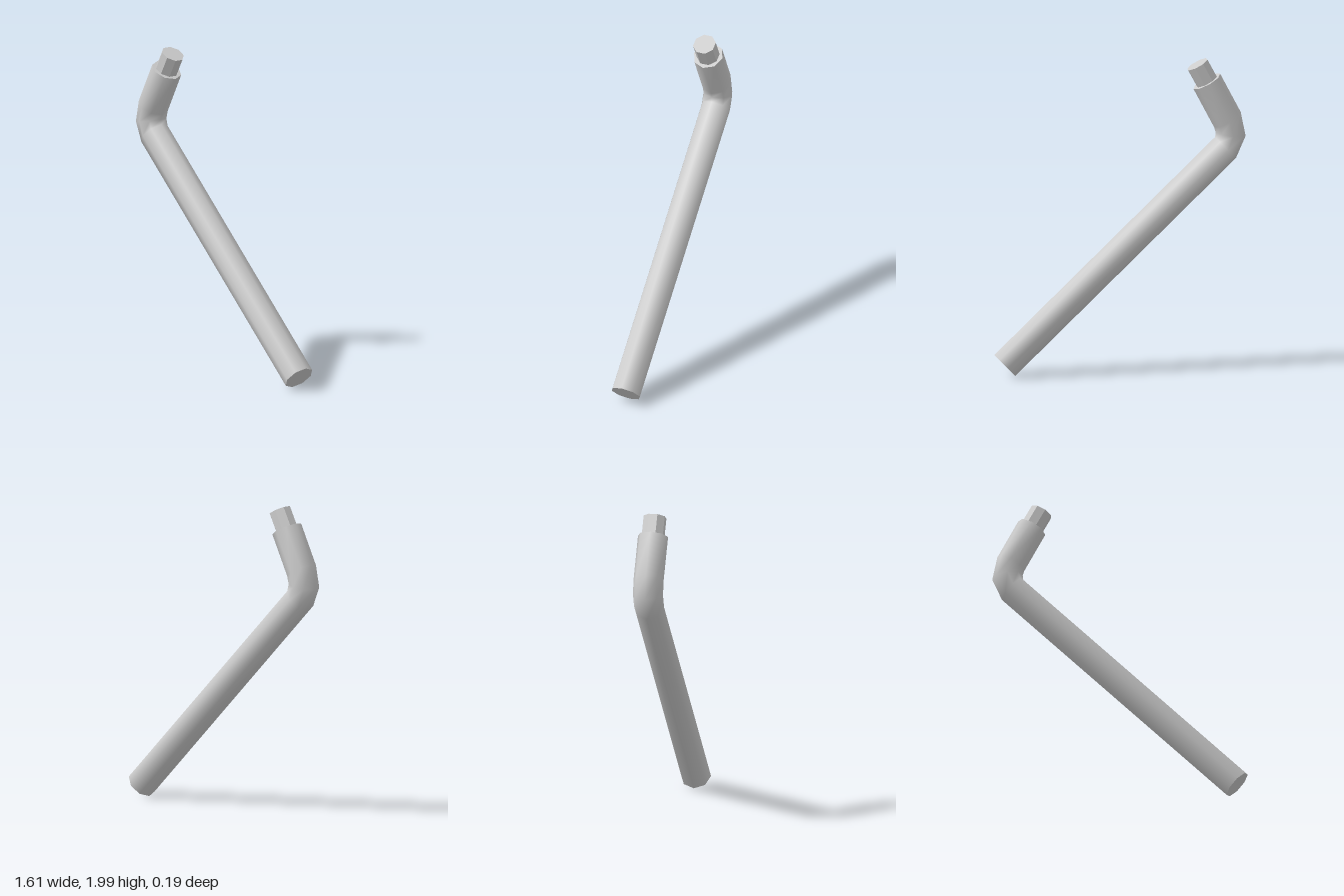
import * as THREE from 'three';

const SIDES = 8;
const RADIUS = 0.097;

// centre of each ring along the bar, with the direction the bar runs there
const RINGS = [
  { at: [0.737, 0.075], dir: [-0.7235, 0.690] },
  { at: [-0.678, 1.425], dir: [-0.7235, 0.690] },
  { at: [-0.711, 1.51], dir: [-0.155, 0.988] },
  { at: [-0.69, 1.604], dir: [0.476, 0.88] },
  { at: [-0.558, 1.855], dir: [0.476, 0.88] },
];

function ringPoints({ at, dir }) {
  const d = new THREE.Vector2(...dir).normalize();
  return Array.from({ length: SIDES }, (_, j) => {
    const a = (j / SIDES) * Math.PI * 2;
    const s = RADIUS * Math.cos(a);
    return [at[0] + s * d.y, at[1] - s * d.x, RADIUS * Math.sin(a)];
  });
}

function buildGeometry(points, index) {
  const geometry = new THREE.BufferGeometry();
  geometry.setAttribute('position', new THREE.Float32BufferAttribute(points.flat(), 3));
  geometry.setIndex(index);
  geometry.computeVertexNormals();
  return geometry;
}

// smooth skin joining the rings
function barGeometry() {
  const index = [];
  for (let i = 0; i < RINGS.length - 1; i++) {
    for (let j = 0; j < SIDES; j++) {
      const a = i * SIDES + j;
      const b = i * SIDES + ((j + 1) % SIDES);
      index.push(a, a + SIDES, b, b, a + SIDES, b + SIDES);
    }
  }
  return buildGeometry(RINGS.flatMap(ringPoints), index);
}

// flat end with its own vertices, so the rim stays sharp
function capGeometry(ring, flip) {
  const index = [];
  for (let j = 1; j < SIDES - 1; j++) index.push(0, ...(flip ? [j + 1, j] : [j, j + 1]));
  return buildGeometry(ringPoints(ring), index);
}

export function createModel() {
  const model = new THREE.Group();
  model.name = 'bentKey';
  const smooth = new THREE.MeshStandardMaterial({ color: 0xcccccc });
  const faceted = new THREE.MeshStandardMaterial({ color: 0xcccccc, flatShading: true });

  const add = (name, geometry, material) => {
    const mesh = new THREE.Mesh(geometry, material);
    mesh.name = name;
    model.add(mesh);
    return mesh;
  };

  const last = RINGS[RINGS.length - 1];
  add('bentBar', barGeometry(), smooth);
  add('handleEnd', capGeometry(RINGS[0], false), faceted);
  add('shoulder', capGeometry(last, true), faceted);

  // narrower faceted tip, rising from the shoulder
  const length = 0.127;
  const tipShape = new THREE.CylinderGeometry(0.0735, 0.0735, length, SIDES, 1, false, Math.PI / SIDES);
  const tip = add('driveTip', tipShape, faceted);
  const [dx, dy] = last.dir;
  tip.rotation.z = -Math.atan2(dx, dy);
  tip.position.set(last.at[0] + dx * length / 2, last.at[1] + dy * length / 2, 0);

  return model;
}
